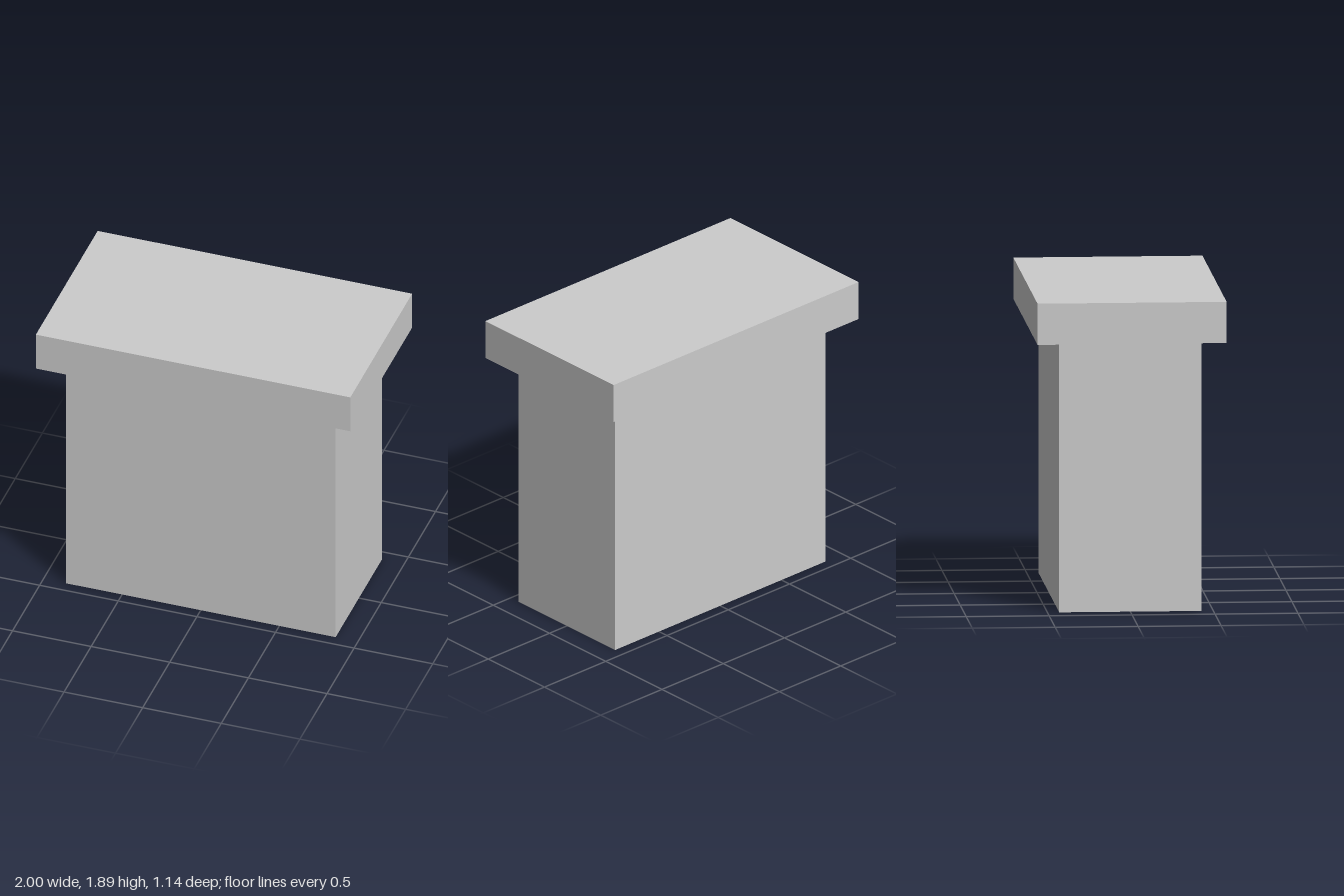
import * as THREE from 'three';

const BODY_HEIGHT = 1.645;
const CAP_HEIGHT = 0.25;

export function createModel() {
  const group = new THREE.Group();
  group.name = 'cappedPillar';
  const material = new THREE.MeshStandardMaterial({ color: 0xcccccc, flatShading: true });

  // Adds a box centred on x and z, standing on the given height
  function addBlock(name, width, height, depth, bottom) {
    const mesh = new THREE.Mesh(new THREE.BoxGeometry(width, height, depth), material);
    mesh.name = name;
    mesh.position.y = bottom + height / 2;
    group.add(mesh);
  }

  // Tall block
  addBlock('body', 1.716, BODY_HEIGHT, 0.858, 0);
  // Overhanging slab on top
  addBlock('capSlab', 2, CAP_HEIGHT, 1.14, BODY_HEIGHT);

  return group;
}
